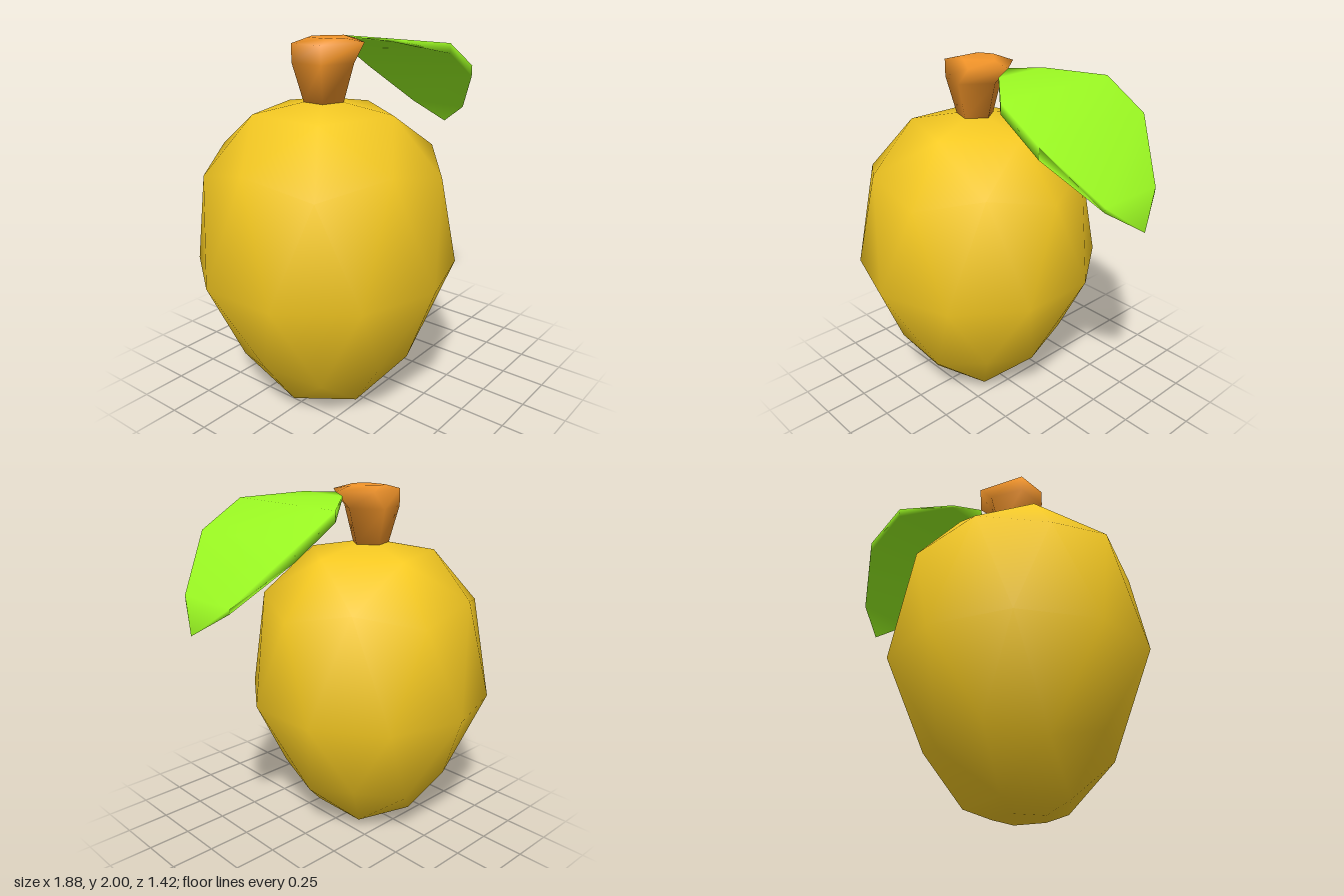
import * as THREE from 'three';
import { ConvexGeometry } from 'three/addons/geometries/ConvexGeometry.js';
import { mergeVertices } from 'three/addons/utils/BufferGeometryUtils.js';

const CENTRE_X = -0.265;

// Points evenly spaced around the fruit's upright axis
function ring(count, radius, y, startDegrees = 0) {
  return Array.from({ length: count }, (_, i) => {
    const a = THREE.MathUtils.degToRad(startDegrees + (i * 360) / count);
    return new THREE.Vector3(CENTRE_X + radius * Math.cos(a), y, -radius * Math.sin(a));
  });
}

// Weld shared corners so the low-poly surface shades smoothly
function smooth(geometry) {
  geometry.deleteAttribute('normal');
  const welded = mergeVertices(geometry, 1e-4);
  welded.computeVertexNormals();
  return welded;
}

// Closed skin over rings of equal size, each counter-clockwise about the path
function loft(rings) {
  const n = rings[0].length;
  const index = [];
  for (let r = 0; r < rings.length - 1; r++) {
    for (let i = 0; i < n; i++) {
      const a = r * n + i, b = r * n + ((i + 1) % n);
      index.push(a, b, b + n, a, b + n, a + n);
    }
  }
  const last = (rings.length - 1) * n;
  for (let i = 1; i < n - 1; i++) {
    index.push(0, i + 1, i, last, last + i, last + i + 1);
  }
  const geometry = new THREE.BufferGeometry().setFromPoints(rings.flat());
  geometry.setIndex(index);
  return smooth(geometry);
}

function part(name, geometry, color) {
  const mesh = new THREE.Mesh(geometry, new THREE.MeshStandardMaterial({ color }));
  mesh.name = name;
  return mesh;
}

export function createModel() {
  const group = new THREE.Group();
  group.name = 'fruit';

  // Fruit: a faceted ball, stretched above and tapered to a small flat base
  const fruitPoints = [
    new THREE.Vector3(CENTRE_X, 1.7, 0),
    ...ring(5, 0.373, 1.63),
    ...ring(5, 0.635, 1.33),
    ...ring(5, 0.604, 1.41, 36),
    ...ring(10, 0.71, 0.8, 18),
    ...ring(5, 0.475, 0.28),
    ...ring(5, 0.505, 0.35, 36),
    ...ring(5, 0.295, 0.055, 36),
    ...ring(5, 0.149, 0, 36),
  ];
  group.add(part('fruitBody', smooth(new ConvexGeometry(fruitPoints)), 0xf5c922));

  // Stem: five-sided, flaring upward, its lip drawn out to meet the leaf
  const lip = ring(5, 0.165, 1.975);
  lip[0].x = 0;
  lip[1].x = lip[4].x = -0.13;
  const stemTop = ring(5, 0.11, 2);
  stemTop[0].x = -0.1;
  stemTop[2].x = stemTop[3].x = -0.31;
  group.add(part('stem', loft([ring(5, 0.108, 1.68), ring(5, 0.165, 1.88), lip, stemTop]), 0xf29429));

  // Leaf: arching slab, each station is x, half width, top y, bottom y
  const leafStations = [
    [0, 0, 1.978, 1.978],
    [0.1, 0.155, 1.975, 1.96],
    [0.35, 0.37, 1.945, 1.89],
    [0.6, 0.37, 1.8, 1.738],
    [0.84, 0.185, 1.53, 1.505],
    [0.935, 0, 1.38, 1.38],
  ];
  const leafRings = leafStations.map(([x, w, top, bottom]) => [
    new THREE.Vector3(x, top, w),
    new THREE.Vector3(x, bottom, w),
    new THREE.Vector3(x, bottom, -w),
    new THREE.Vector3(x, top, -w),
  ]);
  group.add(part('leaf', loft(leafRings), 0x9af722));

  return group;
}
